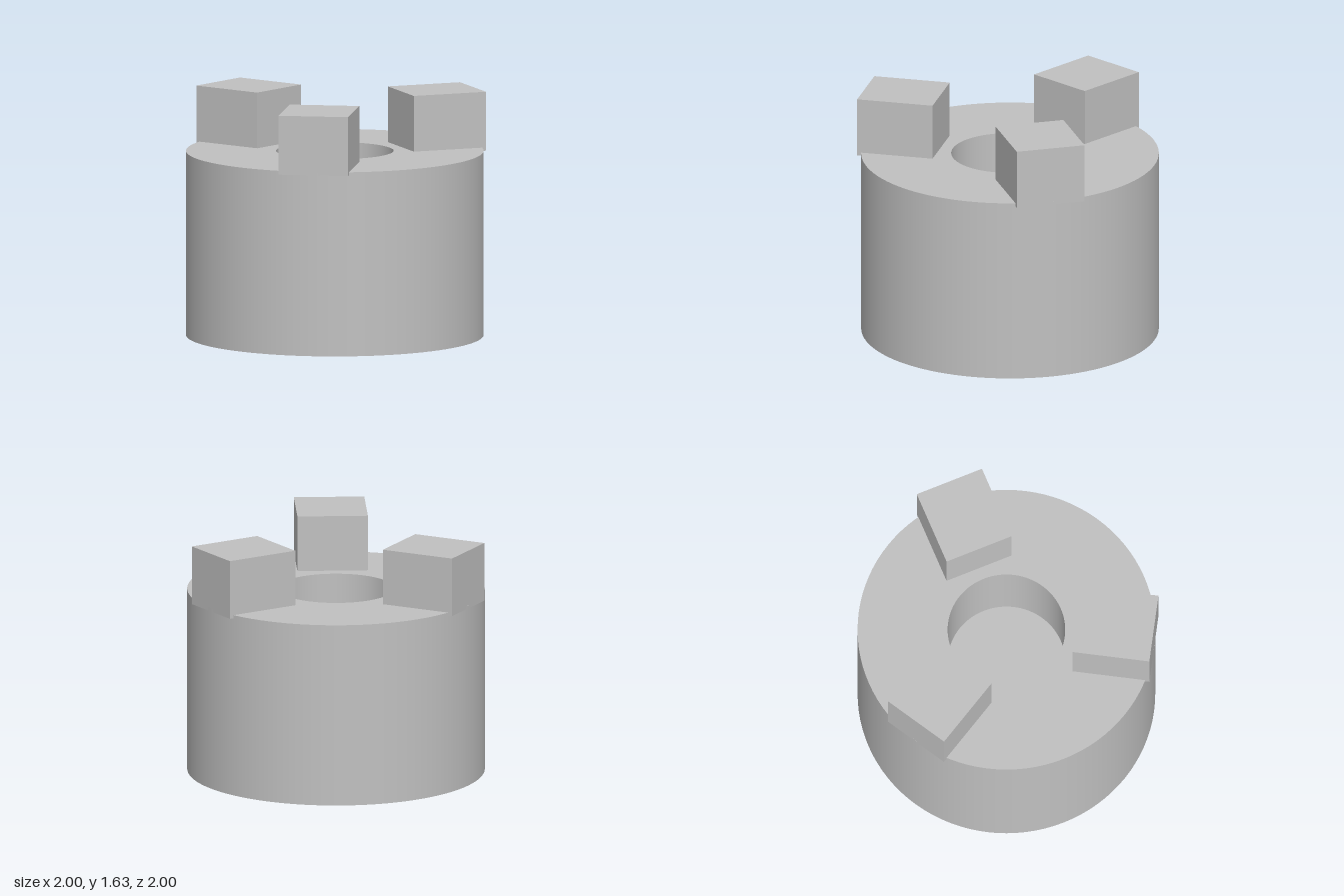
import * as THREE from 'three';
import { mergeGeometries } from 'three/addons/utils/BufferGeometryUtils.js';

// Turned solid: every straight profile segment gets its own normals, so rims stay sharp
function turned(profile, segments) {
  const points = profile.map(([r, y]) => new THREE.Vector2(r, y));
  const bands = [];
  for (let i = 0; i < points.length - 1; i++) {
    bands.push(new THREE.LatheGeometry([points[i], points[i + 1]], segments));
  }
  return mergeGeometries(bands);
}

export function createModel() {
  const model = new THREE.Group();
  model.name = 'threeJawChuck';
  const steel = new THREE.MeshStandardMaterial({ color: 0xc0c0c0 });
  steel.name = 'light grey steel';

  // Body with a wide blind bore on top and a small mounting hole below
  const body = new THREE.Mesh(turned([
    [0, 0.4], [0.12, 0.4], [0.12, 0],
    [1, 0], [1, 1.25],
    [0.395, 1.25], [0.395, 0.62], [0, 0.62],
  ], 96), steel);
  body.name = 'body';
  model.add(body);

  // Three jaws, slightly sunk into the top face and overhanging the rim
  const jawGeometry = new THREE.BoxGeometry(0.522, 0.4, 0.474).translate(0.738, 1.428, 0);
  for (let i = 0; i < 3; i++) {
    const jaw = new THREE.Mesh(jawGeometry, steel);
    jaw.name = `jaw${i + 1}`;
    jaw.rotation.y = (i * Math.PI * 2) / 3;
    model.add(jaw);
  }
  return model;
}
